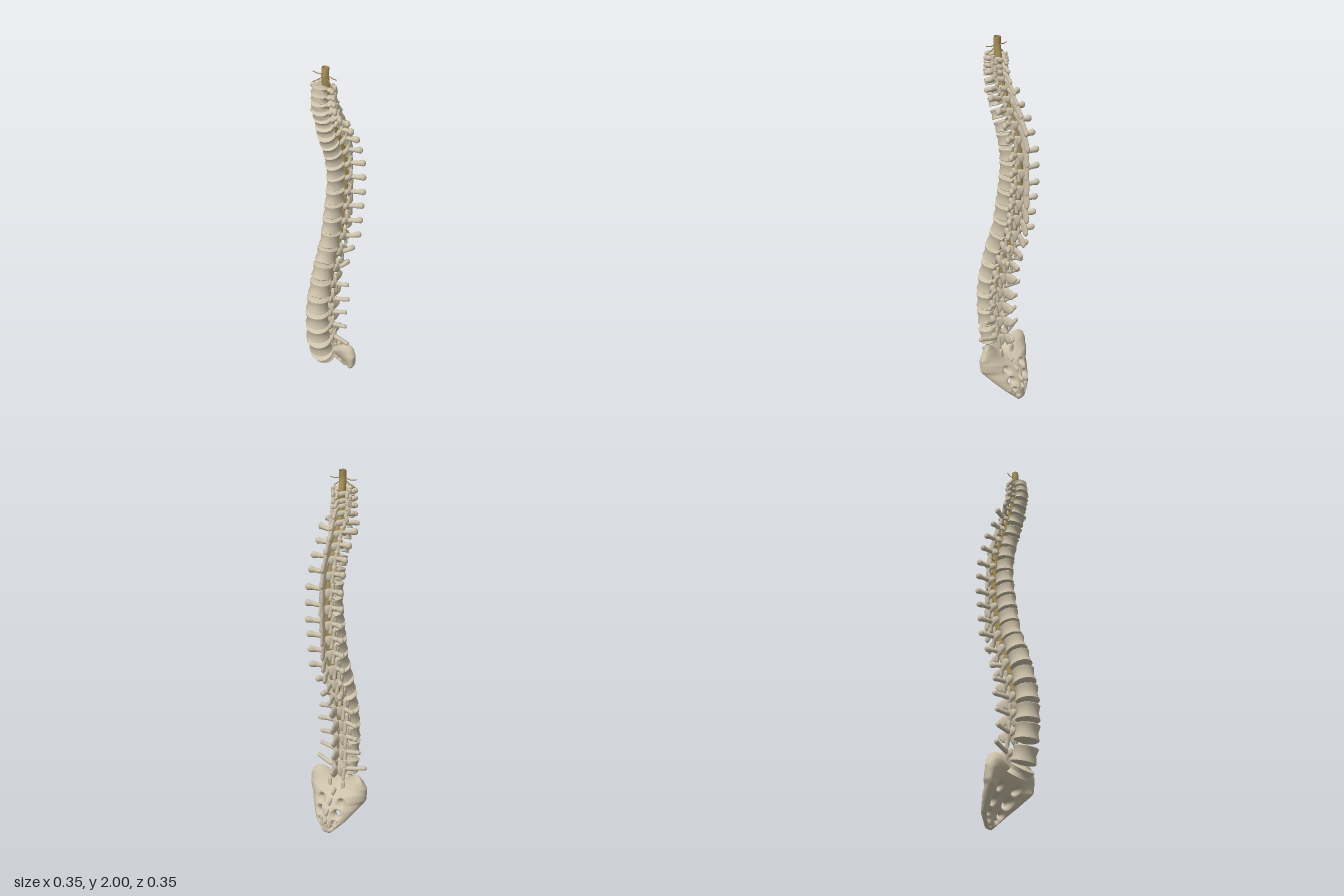
import * as THREE from 'three';
import { mergeGeometries, mergeVertices, toCreasedNormals } from 'three/addons/utils/BufferGeometryUtils.js';

const bone = new THREE.MeshStandardMaterial({ color: 0xcdc2aa });
const nerve = new THREE.MeshStandardMaterial({ color: 0xa8905a, side: THREE.DoubleSide });

// Linear interpolation in a list of [position, value] pairs
function key(table, p) {
  let k = 0;
  while (k < table.length - 2 && p > table[k + 1][0]) k++;
  const [a, va] = table[k], [b, vb] = table[k + 1];
  return va + (vb - va) * Math.min(1, Math.max(0, (p - a) / (b - a)));
}

// Rounded limb through stations [x, y, z, half width, half height]
function limb(stations, rings = 12, sides = 10) {
  const curve = new THREE.CatmullRomCurve3(stations.map(s => new THREE.Vector3(s[0], s[1], s[2])));
  const dir = curve.getPoint(1).sub(curve.getPoint(0)).normalize();
  const ref = Math.abs(dir.y) > 0.8 ? new THREE.Vector3(0, 0, 1) : new THREE.Vector3(0, 1, 0);
  const pos = [], index = [], n = stations.length - 1;
  for (let r = 0; r <= rings; r++) {
    const t = r / rings, p = curve.getPoint(t), tan = curve.getTangent(t);
    const side = ref.clone().cross(tan).normalize(), up = tan.clone().cross(side);
    const round = Math.sqrt(Math.max(0, 1 - Math.abs(2 * t - 1) ** 8)) + 1e-4;
    const a = key(stations.map((s, k) => [k / n, s[3]]), t) * round;
    const b = key(stations.map((s, k) => [k / n, s[4]]), t) * round;
    for (let j = 0; j < sides; j++) {
      const w = j / sides * Math.PI * 2;
      const v = p.clone().addScaledVector(side, a * Math.cos(w)).addScaledVector(up, b * Math.sin(w));
      pos.push(v.x, v.y, v.z);
      if (r < rings) {
        const q = r * sides + j, q1 = r * sides + (j + 1) % sides;
        index.push(q, q1, q + sides, q1, q1 + sides, q + sides);
      }
    }
  }
  const g = new THREE.BufferGeometry();
  g.setAttribute('position', new THREE.Float32BufferAttribute(pos, 3));
  g.setIndex(index);
  g.computeVertexNormals();
  return g;
}

// The same limb on both sides
const pair = stations => [1, -1].map(s => limb(stations.map(([x, ...rest]) => [x * s, ...rest])));

// Waisted vertebral body with a flattened back
function bodyGeometry(w, h, d) {
  const profile = [[0, -.5], [.9, -.5], [1, -.44], [.95, -.3], [.87, 0], [.95, .3], [1, .44], [.9, .5], [0, .5]];
  const g = new THREE.LatheGeometry(profile.map(p => new THREE.Vector2(...p)), 28);
  const p = g.attributes.position;
  for (let i = 0; i < p.count; i++) p.setZ(i, Math.max(p.getZ(i), -0.82 + 0.12 * (1 - Math.abs(p.getX(i)))));
  g.scale(w, h, d / 2);
  return toCreasedNormals(g, 0.7);
}

// Column from the third neck vertebra (0) to the top of the sacrum (22)
const Y = [1.9, 1.86, 1.82, 1.775, 1.73, 1.68, 1.62, 1.56, 1.495, 1.42, 1.345, 1.265, 1.185, 1.1, 1.015, .93, .84, .74, .64, .54, .44, .33, .25];
const Z = [.08, .085, .085, .075, .06, .045, .025, 0, -.02, -.033, -.037, -.031, -.02, -.007, .007, .035, .065, .09, .11, .115, .11, .095, .07];
// Tips of the rear spines
const SY = [1.87, 1.83, 1.78, 1.73, 1.68, 1.62, 1.54, 1.46, 1.38, 1.31, 1.23, 1.16, 1.08, 1.01, .94, .87, .79, .71, .61, .52, .44, .34];
const SZ = [-.03, -.04, -.055, -.08, -.1, -.125, -.16, -.17, -.168, -.165, -.168, -.17, -.17, -.165, -.15, -.13, -.105, -.085, -.075, -.065, -.065, -.075];
const WIDTH = [[0, .04], [4, .046], [5, .048], [7, .043], [10, .04], [13, .046], [16, .055], [19, .065], [22, .07]];
const DEPTH = [[0, .06], [4, .07], [5, .082], [8, .105], [11, .118], [17, .124], [22, .122]];
const HEIGHT = [[0, .03], [4, .034], [5, .042], [8, .058], [11, .066], [14, .078], [17, .082], [21, .084], [22, .05]];
const TIP_X = [[0, .07], [3, .076], [4, .095], [5, .11], [6, .1], [10, .11], [14, .105], [15, .08], [16, .063], [17, .105], [18, .12], [19, .115], [20, .125], [21, .155]];
const TIP_DY = [[0, 0], [4, .02], [5, .04], [8, .033], [11, .005], [16, -.005], [17, -.008], [19, .02], [21, .045]];
const TIP_Z = [[0, .06], [3, .05], [4, .035], [5, -.005], [7, -.088], [9, -.135], [11, -.14], [14, -.115], [16, -.075], [17, -.02], [19, .005], [21, .035]];

const tilt = i => Math.atan2(Z[Math.max(0, i - 1)] - Z[Math.min(22, i + 1)], Y[Math.max(0, i - 1)] - Y[Math.min(22, i + 1)]);
const canalZ = i => Z[i] - key(DEPTH, i) * 0.45 - 0.02;

function bodyMesh(i, angle) {
  const m = new THREE.Mesh(bodyGeometry(key(WIDTH, i), key(HEIGHT, i), key(DEPTH, i)), bone);
  m.name = 'body';
  m.position.set(0, Y[i], Z[i]);
  m.rotation.x = angle;
  return m;
}

function vertebra(i) {
  const neck = i < 5, chest = i >= 5 && i < 17, a = tilt(i);
  const w = key(WIDTH, i), h = key(HEIGHT, i), d = key(DEPTH, i), zc = canalZ(i);
  const y = Y[i] + 0.08 * a + 0.005, r = 0.028, back = zc - 0.034;
  const ax = neck ? 0.045 : chest ? 0.031 : 0.036, th = neck ? 0.01 : 0.011;
  const tx = key(TIP_X, i), ty = Y[i] + key(TIP_DY, i), tz = key(TIP_Z, i);
  const blade = neck ? 0.011 : chest ? 0.019 : 0.03;
  const parts = [
    // pedicles running into the laminae
    ...pair([[w * .6, Y[i] + h * .12, Z[i] - d * .36, .011, h * .27], [r + .005, y, zc, .01, h * .28],
      [r * .75, y - h * .12, zc - .022, .008, h * .42], [0, y - h * .25, back - .004, .008, h * .45]]),
    // side wings
    ...pair([neck ? [w * .7, Y[i], Z[i] - .015, .014, .009] : [r - .004, y, zc - .006, .014, h * .2],
      [(tx + r) / 2, (y + ty) / 2, (zc + tz) / 2 - .004, .011, .012], [tx - .012, ty, tz, chest ? .015 : .011, chest ? .018 : .013],
      [tx, ty + .002, tz, .01, .012]]),
    // upper and lower joint facets
    ...pair([[ax, y - h * .1, zc - .006, th, .01], [ax, y + h * .75, zc - .008, th * 1.1, .008]]),
    ...pair([[ax * .9, y + h * .1, zc - .014, th, .01], [ax * .85, y - h * .85, zc - .024, th, .008]]),
    // rear spine
    limb([[0, y - h * .1, back + .008, .009, blade * .9], [0, y * .6 + SY[i] * .4, back * .55 + SZ[i] * .45, .007, blade],
      [0, SY[i] + .008, SZ[i] + .012, .009, blade * .9], [0, SY[i], SZ[i], .008, blade * .7]]),
  ];
  const arch = new THREE.Mesh(mergeGeometries(parts), bone);
  arch.name = 'archAndWings';
  const g = new THREE.Group();
  g.name = neck ? `neckVertebra${i + 3}` : chest ? `chestVertebra${i - 4}` : `lumbarVertebra${i - 16}`;
  g.add(bodyMesh(i, a), arch);
  return g;
}

// Curved shield with funnel-shaped openings where front and back meet
function sacrumGeometry() {
  const holes = [[.06, .185, .011], [.05, .125, .016], [.043, .073, .009], [.03, .045, .005]];
  const midY = [[0, .265], [.25, .205], [.5, .14], [.75, .07], [1, .001]];
  const midZ = [[0, .065], [.25, .012], [.5, -.05], [.75, -.1], [1, -.118]];
  const half = [[0, .15], [.15, .176], [.35, .172], [.55, .128], [.75, .085], [.9, .045], [1, .018]];
  const wing = [[0, -.05], [.2, .025], [.4, .07], [.6, .045], [1, 0]];
  const thick = [[0, .05], [.25, .085], [.5, .07], [.75, .045], [1, .024]];
  const nu = 64, nv = 52, pos = [[], []], open = [], index = [];
  for (let j = 0; j <= nv; j++) for (let i = 0; i <= nu; i++) {
    const v = j / nv, u = Math.sin((i / nu * 2 - 1) * Math.PI / 2) * .35 + (i / nu * 2 - 1) * .65;
    let x = u * key(half, v);
    let y = key(midY, v) + .07 * Math.sin(Math.PI * Math.min(1, Math.abs(u)) ** 1.6 * .72) * Math.max(0, 1 - v * 1.7) ** 1.5;
    const z = key(midZ, v) + u * u * key(wing, v);
    let t = Math.sqrt(Math.max(0, 1 - u ** 6)) * Math.sqrt(Math.min(1, v / .08, (1 - v) / .06)), inside = false;
    for (const [hx, hy, r] of holes) {
      const cx = hx * Math.sign(x || 1), dx = x - cx, dy = y - hy, dist = Math.hypot(dx, dy) || 1e-5;
      if (dist < r) { x = cx + dx / dist * r; y = hy + dy / dist * r; inside = true; t = 0; }
      else t *= Math.sqrt(Math.min(1, (dist - r) / .016));
    }
    const T = key(thick, v);
    pos[0].push(x, y, z - T * (1 - t) / 2);
    pos[1].push(x, y, z - T * (1 + t) / 2);
    open.push(inside);
  }
  const n = open.length;
  for (let j = 0; j < nv; j++) for (let i = 0; i < nu; i++) {
    const a = j * (nu + 1) + i, b = a + 1, c = a + nu + 1, d = c + 1;
    for (const [p, q, r] of [[a, c, b], [b, c, d]]) {
      if (open[p] && open[q] && open[r]) continue;
      index.push(p, q, r, n + p, n + r, n + q);
    }
  }
  let g = new THREE.BufferGeometry();
  g.setAttribute('position', new THREE.Float32BufferAttribute(pos.flat(), 3));
  g.setIndex(index);
  g = mergeVertices(g, 1e-5);
  g.computeVertexNormals();
  return g;
}

function sacrum() {
  const g = new THREE.Group();
  g.name = 'sacrum';
  const shield = new THREE.Mesh(sacrumGeometry(), bone);
  shield.name = 'sacrumShield';
  // crest knobs, joint facets and tail bone
  const knobs = [[.225, -.06], [.18, -.1], [.13, -.135], [.085, -.143]].map(([y, z]) =>
    limb([[0, y + .01, z + .025, .01, .018], [0, y - .008, z - .012, .008, .014]]));
  const details = new THREE.Mesh(mergeGeometries([...knobs,
    ...pair([[.042, .22, -.02, .014, .012], [.042, .295, -.022, .012, .009]]),
    ...pair([[.03, .1, -.135, .009, .009], [.022, .045, -.142, .007, .007]]),
    limb([[0, .06, -.125, .026, .014], [0, .03, -.128, .02, .011], [0, .002, -.118, .01, .007]])]), bone);
  details.name = 'sacrumCrestAndTail';
  g.add(shield, details, bodyMesh(22, 0.6));
  return g;
}

function tube(name, points, radius, segments, sides) {
  const curve = new THREE.CatmullRomCurve3(points.map(p => new THREE.Vector3(...p)));
  const m = new THREE.Mesh(new THREE.TubeGeometry(curve, segments, radius, sides), nerve);
  m.name = name;
  return m;
}

export function createModel() {
  const model = new THREE.Group();
  model.name = 'spine';
  for (let i = 0; i < 22; i++) model.add(vertebra(i));
  model.add(sacrum());

  // spinal cord through the canal
  const path = [[0, 1.998, .038], [0, 1.96, .042]];
  for (let i = 0; i < 19; i++) path.push([0, Y[i] + .06 * tilt(i), canalZ(i)]);
  model.add(tube('spinalCord', path, .018, 100, 14));

  // nerve roots between the vertebrae, and fine strands at the top
  for (const s of [1, -1]) {
    for (let i = 0; i < 18; i++) {
      const y = (Y[i] + Y[i + 1]) / 2 + .06 * tilt(i), z = (canalZ(i) + canalZ(i + 1)) / 2;
      model.add(tube('nerveRoot', [[0, y + .01, z], [s * .02, y + .004, z], [s * .036, y - .004, z + .004]], .005, 6, 6));
    }
    model.add(tube('topNerve', [[s * .012, 1.965, .042], [s * .04, 1.955, .04], [s * .072, 1.958, .045]], .0025, 10, 5));
    model.add(tube('topNerve', [[s * .012, 1.95, .044], [s * .035, 1.93, .05], [s * .06, 1.915, .06]], .0025, 10, 5));
  }
  return model;
}
